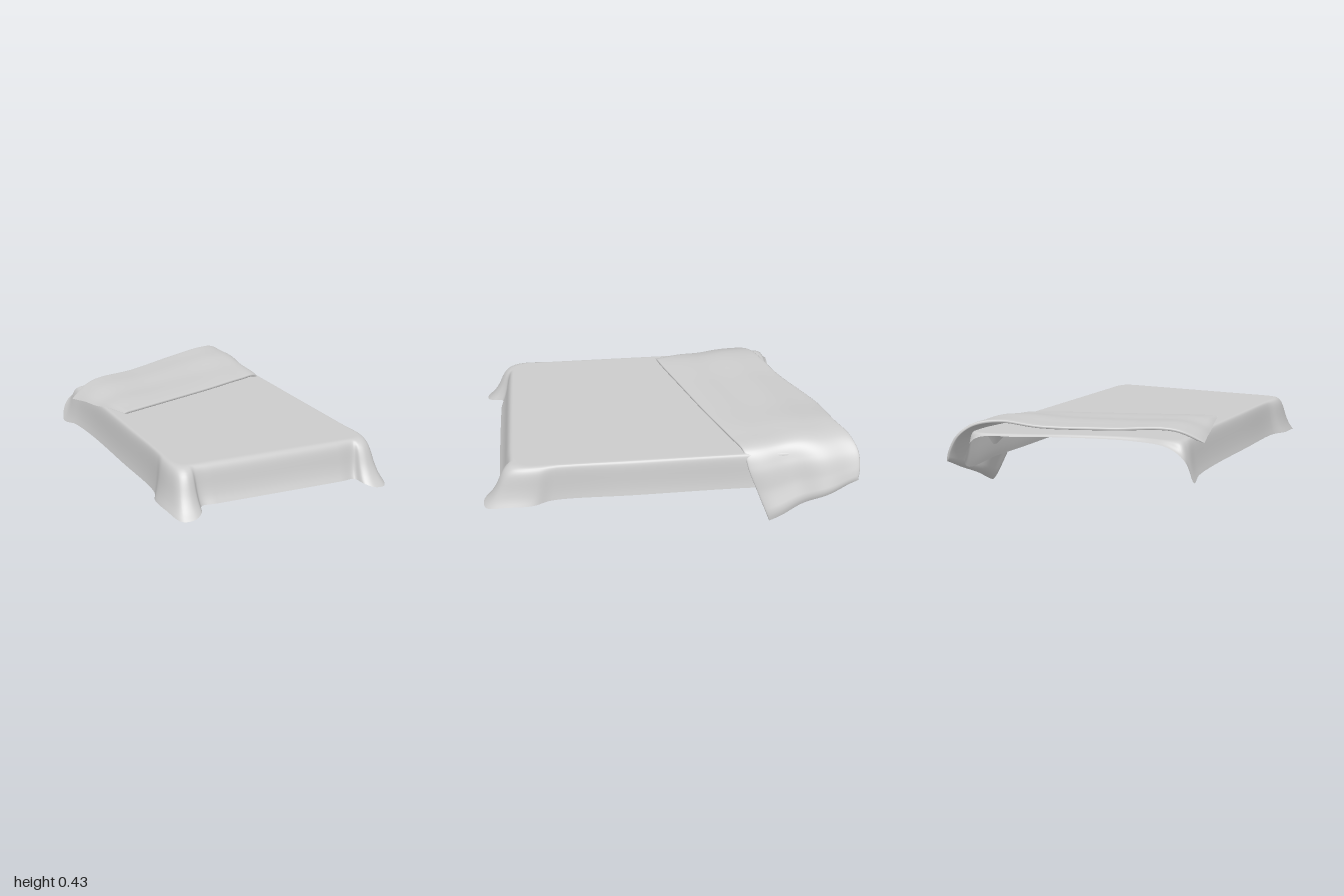
import * as THREE from 'three';

const V = (x, y, z) => new THREE.Vector3(x, y, z);

// Smooth skin over rows of points; every row is a closed ring
function skin(rows, name) {
  const n = rows[0].length, pos = [], idx = [];
  rows.forEach(r => r.forEach(p => pos.push(p.x, p.y, p.z)));
  for (let i = 0; i < rows.length - 1; i++)
    for (let k = 0; k < n; k++) {
      const a = i * n + k, b = a + n, d = i * n + (k + 1) % n, c = d + n;
      idx.push(a, b, c, a, c, d);
    }
  const g = new THREE.BufferGeometry();
  g.setAttribute('position', new THREE.Float32BufferAttribute(pos, 3));
  g.setIndex(idx);
  g.computeVertexNormals();
  const m = new THREE.Mesh(g, new THREE.MeshStandardMaterial({ color: 0xcccccc, side: THREE.DoubleSide }));
  m.name = name;
  return m;
}

// Draped cover: flared hem with pinched foot corners, open below and at the skewed head end
function bedCover() {
  const cx = -0.025, topY = 0.362;
  // [top x, top z, hem x, hem y, hem z], x measured from the cover's middle
  const corner = [
    [0.35, 0.83, 0.35, 0.172, 0.915], [0.45, 0.83, 0.43, 0.17, 0.91],
    [0.475, 0.825, 0.455, 0.16, 0.965], [0.5, 0.815, 0.5, 0.145, 0.997],
    [0.515, 0.79, 0.565, 0.14, 0.985], [0.525, 0.75, 0.6, 0.16, 0.87],
    [0.525, 0.68, 0.605, 0.165, 0.74], [0.525, 0.6, 0.57, 0.168, 0.64],
    [0.525, 0.2, 0.57, 0.17, 0.2],
  ];
  const head = [
    [0.525, -0.3, 0.565, 0.17, -0.3], [0.525, -0.6, 0.57, 0.17, -0.6],
    [0.525, -0.82, 0.56, 0.165, -0.86], [0.515, -0.87, 0.55, 0.2, -0.915],
    [0.47, -0.89, 0.49, 0.33, -0.92], [0.25, -0.82, 0.25, 0.35, -0.85],
    [0, -0.72, 0, 0.35, -0.745], [-0.3, -0.635, -0.3, 0.345, -0.665],
    [-0.47, -0.63, -0.49, 0.33, -0.67], [-0.52, -0.61, -0.59, 0.27, -0.68],
    [-0.53, -0.57, -0.625, 0.165, -0.655], [-0.53, -0.48, -0.595, 0.17, -0.52],
    [-0.525, -0.3, -0.575, 0.17, -0.3],
  ];
  const mirrored = corner.map(([a, b, c, d, e]) => [-a, b, -c, d, e]).reverse();
  const pts = [...corner, ...head, ...mirrored];
  const top = new THREE.CatmullRomCurve3(pts.map(p => V(cx + p[0], topY, p[1])), true);
  const hem = new THREE.CatmullRomCurve3(pts.map(p => V(cx + p[2], p[3], p[4])), true);
  const n = pts.length * 6, centre = V(cx, topY, 0.1);
  const ring = f => Array.from({ length: n }, (_, k) => f(top.getPoint(k / n), hem.getPoint(k / n)));

  const rows = [0, 0.5, 0.85, 0.95, 0.98].map(s => ring(t => t.lerp(centre, 1 - s)));
  // Rounded shoulder, then the hanging skirt: [outward share, height share]
  const profile = new THREE.CatmullRomCurve3([[0, 1], [0.2, 0.96], [0.36, 0.85], [0.48, 0.68],
    [0.62, 0.42], [0.8, 0.18], [1, 0]].map(p => V(p[0], p[1], 0)));
  for (let i = 0; i <= 14; i++) {
    const q = profile.getPoint(i / 14);
    rows.push(ring((t, h) => V(t.x + (h.x - t.x) * q.x, h.y + (t.y - h.y) * q.y, t.z + (h.z - t.z) * q.x)));
  }
  return skin(rows, 'bedCover');
}

// Folded blanket lying askew over the head end and hanging off the left side
function blanket() {
  const front = new THREE.CatmullRomCurve3([
    V(-0.505, 0.375, -0.005), V(-0.42, 0.376, -0.03), V(-0.2, 0.376, -0.11), V(0.1, 0.376, -0.22),
    V(0.35, 0.376, -0.32), V(0.48, 0.365, -0.375), V(0.535, 0.28, -0.4), V(0.575, 0.15, -0.45), V(0.628, 0.01, -0.505)]);
  const back = new THREE.CatmullRomCurve3([
    V(-0.64, 0.335, -0.5), V(-0.5, 0.4, -0.57), V(-0.2, 0.4, -0.69), V(0.12, 0.41, -0.84),
    V(0.33, 0.43, -0.89), V(0.45, 0.41, -0.95), V(0.52, 0.355, -0.985), V(0.565, 0.28, -0.99), V(0.59, 0.215, -0.98)]);
  // Middle surface with soft waves running along the band
  const at = (u, v) => {
    const p = front.getPoint(u).lerp(back.getPoint(u), v);
    const flat = 1 - THREE.MathUtils.smoothstep(u, 0.55, 0.75);
    p.y += Math.sin(Math.PI * v) ** 2 * (0.004 + 0.006 * flat * Math.sin(v * 9 + u * 4));
    p.x += (1 - flat) * 0.015 * Math.sin(Math.PI * v) * Math.cos(v * 9);
    return p;
  };
  const rows = [], nu = 72, nk = 72, e = 0.004;
  for (let i = 0; i <= nu; i++) {
    const u = i / nu;
    const end = Math.sqrt(Math.min(1, 0.01 + Math.min(u, 1 - u) * 25));
    const row = [];
    for (let k = 0; k < nk; k++) {
      const a = k / nk * Math.PI * 2, v = 0.5 - 0.5 * Math.cos(a), s = Math.sin(a);
      const u0 = Math.max(0, u - e), u1 = Math.min(1, u + e), v0 = Math.max(0, v - e), v1 = Math.min(1, v + e);
      const nrm = at(u1, v).sub(at(u0, v)).cross(at(u, v1).sub(at(u, v0))).normalize();
      // Thicker where the hanging end bunches up
      const half = 0.014 + 0.012 * (1 - v) * THREE.MathUtils.smoothstep(u, 0.85, 1);
      row.push(at(u, v).addScaledVector(nrm, half * end * Math.sign(s) * Math.abs(s) ** 0.4));
    }
    rows.push(row);
  }
  return skin(rows, 'foldedBlanket');
}

export function createModel() {
  const model = new THREE.Group();
  model.name = 'bedding';
  model.add(bedCover(), blanket());
  return model;
}
